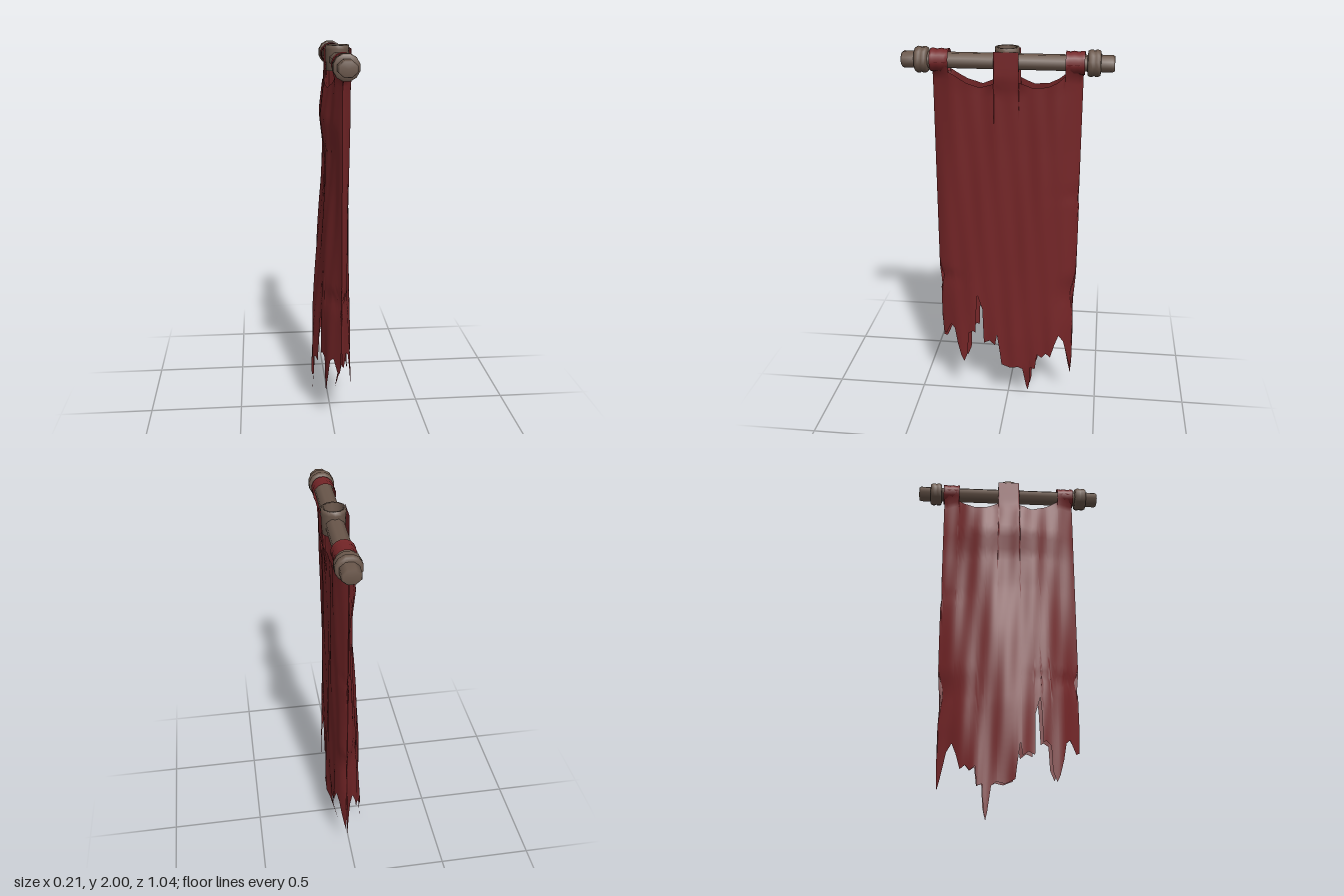
import * as THREE from 'three';

const AXIS_X = 0.04, AXIS_Y = 1.93;
const { smoothstep, lerp, clamp } = THREE.MathUtils;

// Piecewise-linear lookup in a list of [key, value] pairs with rising keys
function lookup(table, k) {
  if (k <= table[0][0]) return table[0][1];
  for (let i = 1; i < table.length; i++) {
    const [a, va] = table[i - 1], [b, vb] = table[i];
    if (k <= b) return va + (vb - va) * (k - a) / (b - a || 1);
  }
  return table[table.length - 1][1];
}

// Ragged lower hem: z, height
const hem = [
  [-0.372, 0.5], [-0.366, 0.26], [-0.355, 0.17], [-0.34, 0.23], [-0.313, 0.36], [-0.287, 0.4],
  [-0.265, 0.34], [-0.244, 0.26], [-0.218, 0.28], [-0.196, 0.25], [-0.17, 0.27], [-0.159, 0.17],
  [-0.133, 0.18], [-0.127, 0.05], [-0.117, 0.0], [-0.108, 0.04], [-0.09, 0.17], [-0.064, 0.19],
  [-0.021, 0.18], [0.027, 0.2], [0.037, 0.28], [0.053, 0.39], [0.064, 0.32], [0.095, 0.345],
  [0.127, 0.33], [0.133, 0.55], [0.159, 0.64], [0.165, 0.57], [0.172, 0.4], [0.186, 0.41],
  [0.212, 0.39], [0.218, 0.26], [0.239, 0.205], [0.255, 0.24], [0.276, 0.32], [0.292, 0.41],
  [0.313, 0.43], [0.345, 0.36], [0.361, 0.37], [0.372, 0.5],
];
// Upper edge: two scallops between three hanging tabs
const topEdge = [
  [-0.372, 1.93], [-0.287, 1.93], [-0.285, 1.87], [-0.25, 1.84], [-0.2, 1.815], [-0.13, 1.81],
  [-0.062, 1.84], [-0.06, 1.985], [0.06, 1.985], [0.062, 1.83], [0.13, 1.805],
  [0.2, 1.83], [0.25, 1.86], [0.285, 1.88], [0.287, 1.93], [0.372, 1.93],
];
// Side edges with torn notches: height, greatest |z|
const edgePlus = [[0, 0.37], [0.68, 0.367], [0.768, 0.345], [0.772, 0.355], [0.8, 0.372], [2, 0.372]];
const edgeMinus = [[0, 0.36], [0.5, 0.362], [0.6, 0.35], [0.66, 0.34], [0.72, 0.345], [0.8, 0.37],
  [1.2, 0.372], [1.25, 0.36], [1.3, 0.37], [2, 0.372]];
// Distance of each sheet from the pole axis by height
const frontDepth = [[0, 0.01], [0.1, 0.03], [0.2, 0.05], [0.4, 0.052], [0.8, 0.045], [1.5, 0.042],
  [1.8, 0.045], [1.93, 0.055]];
const backDepth = [[0, 0.14], [0.6, 0.125], [1, 0.1], [1.3, 0.076], [1.5, 0.07],
  [1.65, 0.09], [1.8, 0.072], [1.93, 0.055]];

// One sheet of cloth; side +1 is the front sheet, -1 the back one
function clothSheet(side) {
  const columns = [];
  const keys = [...hem.map(p => p[0]), ...topEdge.map(p => p[0])].sort((a, b) => a - b);
  keys.forEach((z, i) => {
    if (i === 0) { columns.push(z); return; }
    const gap = z - keys[i - 1];
    if (gap < 1e-6) return;
    const n = Math.ceil(gap / 0.012);
    for (let j = 1; j <= n; j++) columns.push(keys[i - 1] + gap * j / n);
  });
  const rows = 48, pos = [], index = [];
  columns.forEach(z0 => {
    const low = lookup(hem, z0) * (side > 0 ? 0.97 : 1) + (side > 0 ? 0.045 : 0);
    const high = lookup(topEdge, z0);
    for (let r = 0; r <= rows; r++) {
      const y = low + (high - low) * r / rows;
      const limit = lookup(z0 > 0 ? edgePlus : edgeMinus, y);
      const z = clamp(z0, -limit, limit);
      const e = Math.abs(z) / limit;
      const loose = 1 - smoothstep(y, 1.86, 1.925);
      // both sheets curl in and meet along the sides, folds deepen towards the hem
      const curl = 1 - (side > 0 ? e ** 6 : e * e) * loose;
      const fold = (0.005 * Math.sin(z * 24 + y * 4 + side) + 0.002 * Math.sin(z * 60 - y * 5))
        * (1 - e ** 6) * loose * (2 - smoothstep(y, 0.1, 0.7));
      // middle tab lies flat against the socket
      const tab = smoothstep(y, 1.78, 1.86) * (1 - smoothstep(Math.abs(z), 0.061, 0.12));
      const depth = lookup(side > 0 ? frontDepth : backDepth, y);
      const d = lerp(depth * curl + fold, 0.064, tab);
      pos.push(AXIS_X + side * d - 0.01 * e * e * loose, y, z);
    }
  });
  const w = rows + 1;
  for (let c = 0; c < columns.length - 1; c++) {
    for (let r = 0; r < rows; r++) {
      const a = c * w + r, b = a + w;
      if (side > 0) index.push(a, a + 1, b, b, a + 1, b + 1);
      else index.push(a, b, a + 1, b, b + 1, a + 1);
    }
  }
  const g = new THREE.BufferGeometry();
  g.setAttribute('position', new THREE.Float32BufferAttribute(pos, 3));
  g.setIndex(index);
  g.computeVertexNormals();
  return g;
}

// Turned piece along z from [radius, z] points
function turned(points, sides) {
  const g = new THREE.LatheGeometry(points.map(([r, z]) => new THREE.Vector2(r, z)), sides);
  g.rotateY(Math.PI / sides);
  g.rotateX(Math.PI / 2);
  return g;
}

export function createModel() {
  const model = new THREE.Group();
  model.name = 'hangingBanner';
  const cloth = new THREE.MeshStandardMaterial({ color: 0x742527, side: THREE.DoubleSide });
  cloth.name = 'dark red cloth';
  const wood = new THREE.MeshStandardMaterial({ color: 0x6a574b, side: THREE.DoubleSide });
  wood.name = 'brown wood';

  const add = (name, geometry, material, x = 0, y = 0, z = 0) => {
    const mesh = new THREE.Mesh(geometry, material);
    mesh.name = name;
    mesh.position.set(x, y, z);
    model.add(mesh);
    return mesh;
  };

  // Cloth sheets
  add('frontCloth', clothSheet(1), cloth);
  add('backCloth', clothSheet(-1), cloth);

  // Pole halves, collars and cloth loops, mirrored along z
  for (const s of [1, -1]) {
    const tag = s > 0 ? 'Front' : 'Back';
    const pole = add('pole' + tag, turned([[0.046, 0.05], [0.046, 0.4], [0.048, 0.45],
      [0.048, 0.51], [0.041, 0.519], [0, 0.519]], 8), wood, AXIS_X, AXIS_Y, 0);
    pole.scale.set(1, 0.86, s);
    const collar = add('collar' + tag, turned([[0.04, 0.388], [0.058, 0.39], [0.064, 0.4], [0.064, 0.414],
      [0.06, 0.421], [0.064, 0.428], [0.064, 0.442], [0.058, 0.452], [0.04, 0.454]], 12), wood, AXIS_X, AXIS_Y, 0);
    collar.scale.z = s;
    const loop = add('clothLoop' + tag, turned([[0.057, 0.285], [0.053, 0.305], [0.057, 0.325],
      [0.053, 0.345], [0.057, 0.365], [0.055, 0.377]], 16), cloth, AXIS_X, AXIS_Y, 0);
    loop.scale.z = s;
  }

  // Open upright socket in the middle
  const socket = [[0.046, 1.875], [0.056, 1.875], [0.058, 1.93], [0.061, 1.98], [0.059, 2.0], [0.046, 2.0], [0.046, 1.875]];
  add('centreSocket', new THREE.LatheGeometry(socket.map(([r, y]) => new THREE.Vector2(r, y)), 12), wood, AXIS_X, 0, 0);

  return model;
}
